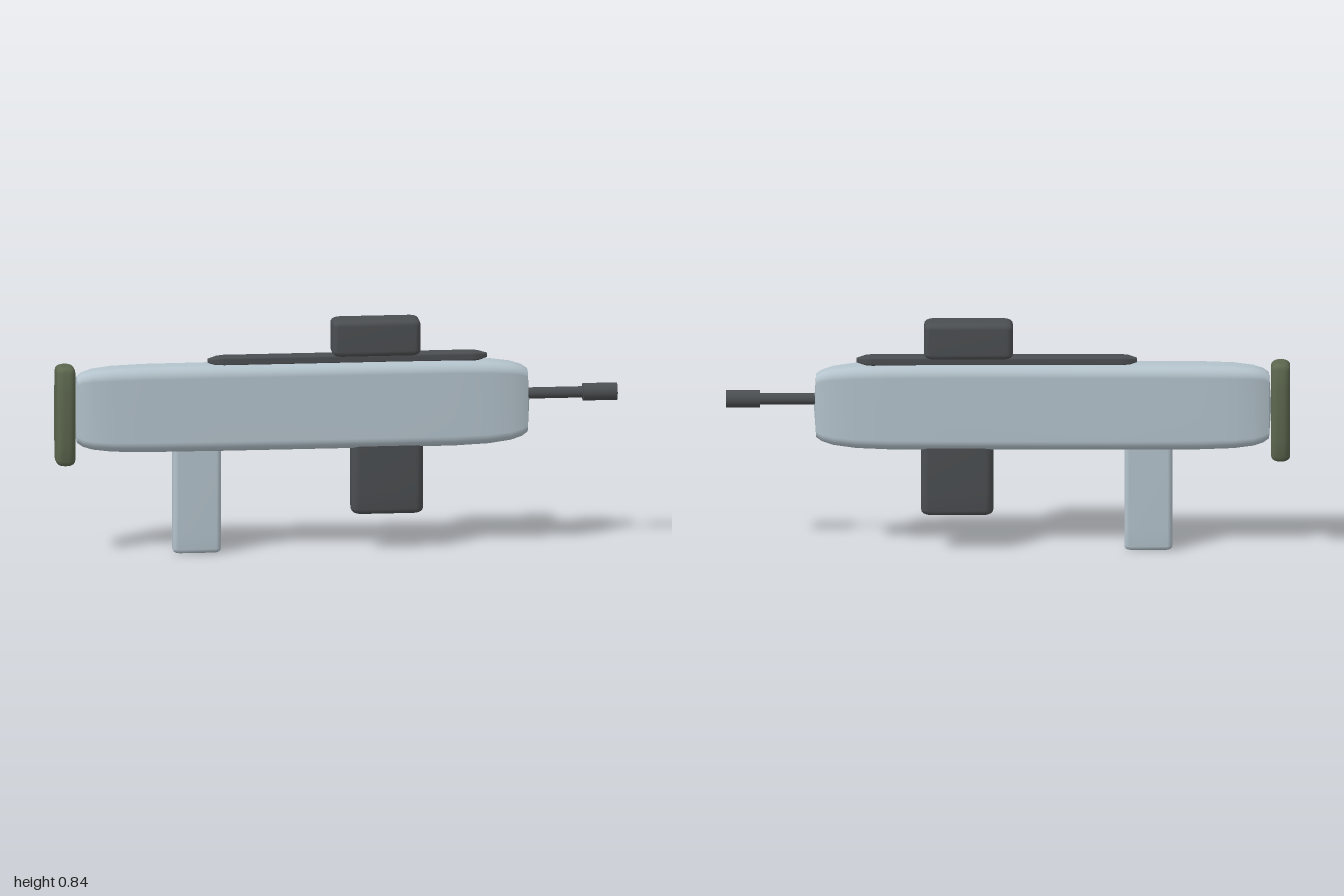
import * as THREE from 'three';

const mat = (name, color) => {
  const m = new THREE.MeshStandardMaterial({ color });
  m.name = name;
  return m;
};

// Rounded-rectangle outline, counter-clockwise in (u, v)
function outline(hu, hv, r) {
  const pts = [];
  r = Math.min(r, hu, hv);
  [[1, 1], [-1, 1], [-1, -1], [1, -1]].forEach(([su, sv], q) => {
    for (let k = 0; k <= 6; k++) {
      const a = (q + k / 6) * Math.PI / 2;
      pts.push([su * (hu - r) + r * Math.cos(a), sv * (hv - r) + r * Math.sin(a)]);
    }
  });
  return pts;
}

// Loft of rounded rectangles; section = [t, half u, half v, corner radius].
// Along x: u = y, v = z. Along y: u = z, v = x.
function loft(axis, sections, dome = 0) {
  const pos = [], idx = [], n = 28;
  const put = (t, u, v) => (axis === 'x' ? pos.push(t, u, v) : pos.push(v, t, u));
  const ring = ([t, hu, hv, r]) => {
    const start = pos.length / 3;
    outline(hu, hv, r).forEach(([u, v]) => put(t, u, v));
    return start;
  };
  const starts = sections.map(ring);
  for (let i = 0; i + 1 < starts.length; i++) {
    for (let j = 0; j < n; j++) {
      const k = (j + 1) % n, a = starts[i], b = starts[i + 1];
      idx.push(a + j, a + k, b + k, a + j, b + k, b + j);
    }
  }
  // End caps with their own vertices
  [[sections[0], -1], [sections[sections.length - 1], 1]].forEach(([s, dir]) => {
    const a = ring(s), c = pos.length / 3;
    put(s[0] + dir * dome, 0, 0);
    for (let j = 0; j < n; j++) {
      const k = (j + 1) % n;
      if (dir > 0) idx.push(c, a + j, a + k);
      else idx.push(c, a + k, a + j);
    }
  });
  const g = new THREE.BufferGeometry();
  g.setAttribute('position', new THREE.Float32BufferAttribute(pos, 3));
  g.setIndex(idx);
  g.computeVertexNormals();
  return g;
}

// Upright block with softened ends, slightly narrower in depth at the given ends
function block(x0, x1, y0, y1, hz, r, bevel, bottom = 1, top = 1) {
  const hx = (x1 - x0) / 2, s = [];
  const add = (y, inset, k) => s.push([y, hz * k - inset, hx - inset, r]);
  const steps = [0, 0.25, 0.5, 0.75, 1];
  const inset = f => bevel * (1 - Math.sin(f * Math.PI / 2));
  const rise = f => bevel * (1 - Math.cos(f * Math.PI / 2));
  steps.forEach(f => add(y0 + rise(f), inset(f), bottom));
  if (bottom !== 1) add(y0 + bevel + 0.06, 0, 1);
  if (top !== 1) add(y1 - bevel - 0.06, 0, 1);
  steps.reverse().forEach(f => add(y1 - rise(f), inset(f), top));
  const g = loft('y', s);
  g.translate((x0 + x1) / 2, 0, 0);
  return g;
}

export function createModel() {
  const group = new THREE.Group();
  const pale = mat('pale grey blue', 0xb4c3cc);
  const dark = mat('dark grey', 0x4b4e51);
  const olive = mat('olive green', 0x5c674e);
  const add = (name, geometry, material) => {
    const m = new THREE.Mesh(geometry, material);
    m.name = name;
    group.add(m);
    return m;
  };

  // Long body, tapering at both ends
  add('body', loft('x', [
    [-0.925, 0.118, 0.034, 0.025],
    [-0.905, 0.132, 0.042, 0.03],
    [-0.87, 0.142, 0.053, 0.034],
    [-0.8, 0.15, 0.061, 0.038],
    [-0.68, 0.154, 0.064, 0.04],
    [-0.4, 0.155, 0.065, 0.04],
    [0.2, 0.155, 0.065, 0.04],
    [0.42, 0.154, 0.064, 0.04],
    [0.54, 0.149, 0.061, 0.038],
    [0.62, 0.139, 0.052, 0.034],
    [0.66, 0.127, 0.042, 0.03],
    [0.68, 0.113, 0.034, 0.025],
  ], 0.008), pale).position.y = 0.528;

  // End pad, grip and hanging block
  add('endPad', block(-1, -0.932, 0.33, 0.688, 0.065, 0.025, 0.02, 0.8, 0.8), olive);
  add('grip', block(-0.583, -0.412, 0.002, 0.42, 0.035, 0.018, 0.016, 0.92), pale);
  add('lowerBlock', block(0.052, 0.308, 0.132, 0.42, 0.049, 0.028, 0.02, 0.9), dark);

  // Top rail with pointed ends, and the sight on it
  add('rail', loft('x', [
    [-0.457, 0.007, 0.008, 0.004],
    [-0.425, 0.014, 0.026, 0.007],
    [-0.4, 0.016, 0.029, 0.008],
    [0.48, 0.016, 0.029, 0.008],
    [0.505, 0.014, 0.026, 0.007],
    [0.537, 0.007, 0.008, 0.004],
  ]), dark).position.y = 0.694;
  add('sight', block(-0.017, 0.297, 0.706, 0.837, 0.057, 0.022, 0.02), dark);

  // Barrel and its wider tip
  const rod = (name, x0, x1, r) => {
    const g = new THREE.CylinderGeometry(r, r, x1 - x0, 24);
    g.rotateZ(-Math.PI / 2);
    add(name, g, dark).position.set((x0 + x1) / 2, 0.552, 0);
  };
  rod('barrel', 0.66, 0.89, 0.02);
  rod('barrelTip', 0.878, 1, 0.031);

  return group;
}
